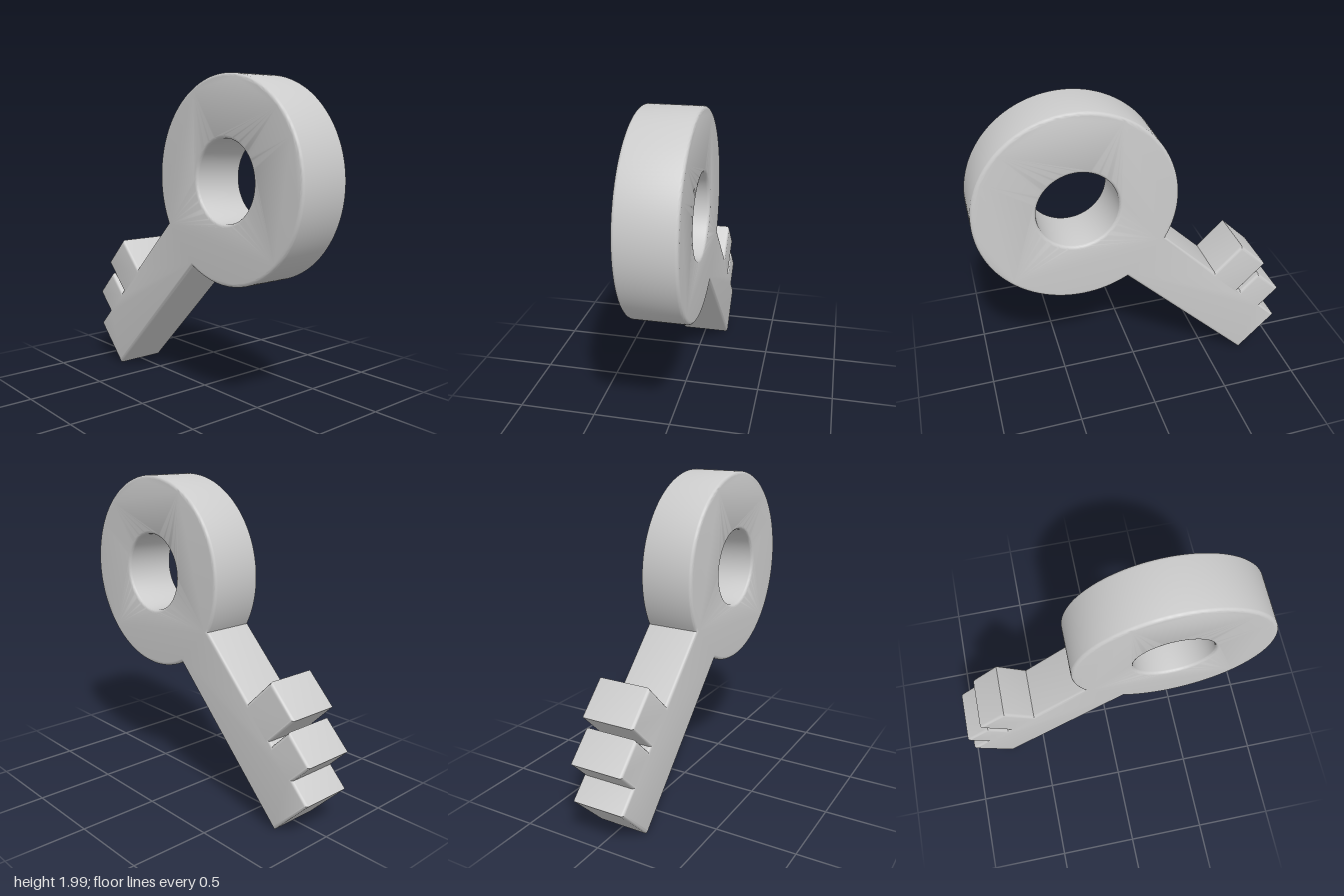
import * as THREE from 'three';
import { toCreasedNormals } from 'three/addons/utils/BufferGeometryUtils.js';

export function createModel() {
  const group = new THREE.Group();
  group.name = 'key';

  const ringRadius = 0.617, holeRadius = 0.248, halfShaft = 0.174;
  const thickness = 0.35, bevel = 0.02;

  // Outline: bow centred on the origin, shaft along +x, teeth towards -y
  const outline = new THREE.Shape();
  const a = Math.asin(halfShaft / ringRadius);
  outline.absarc(0, 0, ringRadius, a, Math.PI * 2 - a, false);

  // Teeth as [start, end, height], separated by notches down to the shaft
  const teeth = [[1.095, 1.351, 0.426], [1.379, 1.607, 0.345]];
  for (const [start, end, height] of teeth) {
    outline.lineTo(start, -halfShaft);
    outline.lineTo(start, -height);
    outline.lineTo(end, -height);
    outline.lineTo(end, -halfShaft);
  }

  // Tip of the shaft
  outline.lineTo(1.77, -halfShaft);
  outline.lineTo(1.77, halfShaft);
  outline.closePath();

  // Round hole in the bow
  const hole = new THREE.Path();
  hole.absarc(0, 0, holeRadius, 0, Math.PI * 2, true);
  outline.holes.push(hole);

  // Solid with softly rounded rims
  const geometry = new THREE.ExtrudeGeometry(outline, {
    depth: thickness - 2 * bevel,
    bevelThickness: bevel,
    bevelSize: bevel,
    bevelOffset: -bevel,
    bevelSegments: 4,
    curveSegments: 72,
  });
  geometry.translate(0, 0, bevel - thickness / 2);

  const body = new THREE.Mesh(
    toCreasedNormals(geometry, 0.7),
    new THREE.MeshStandardMaterial({ color: 0xcccccc })
  );
  body.name = 'keyBody';
  body.rotation.z = Math.PI * 1.25;
  body.position.set(0.383, 1.376, 0);
  group.add(body);

  return group;
}
